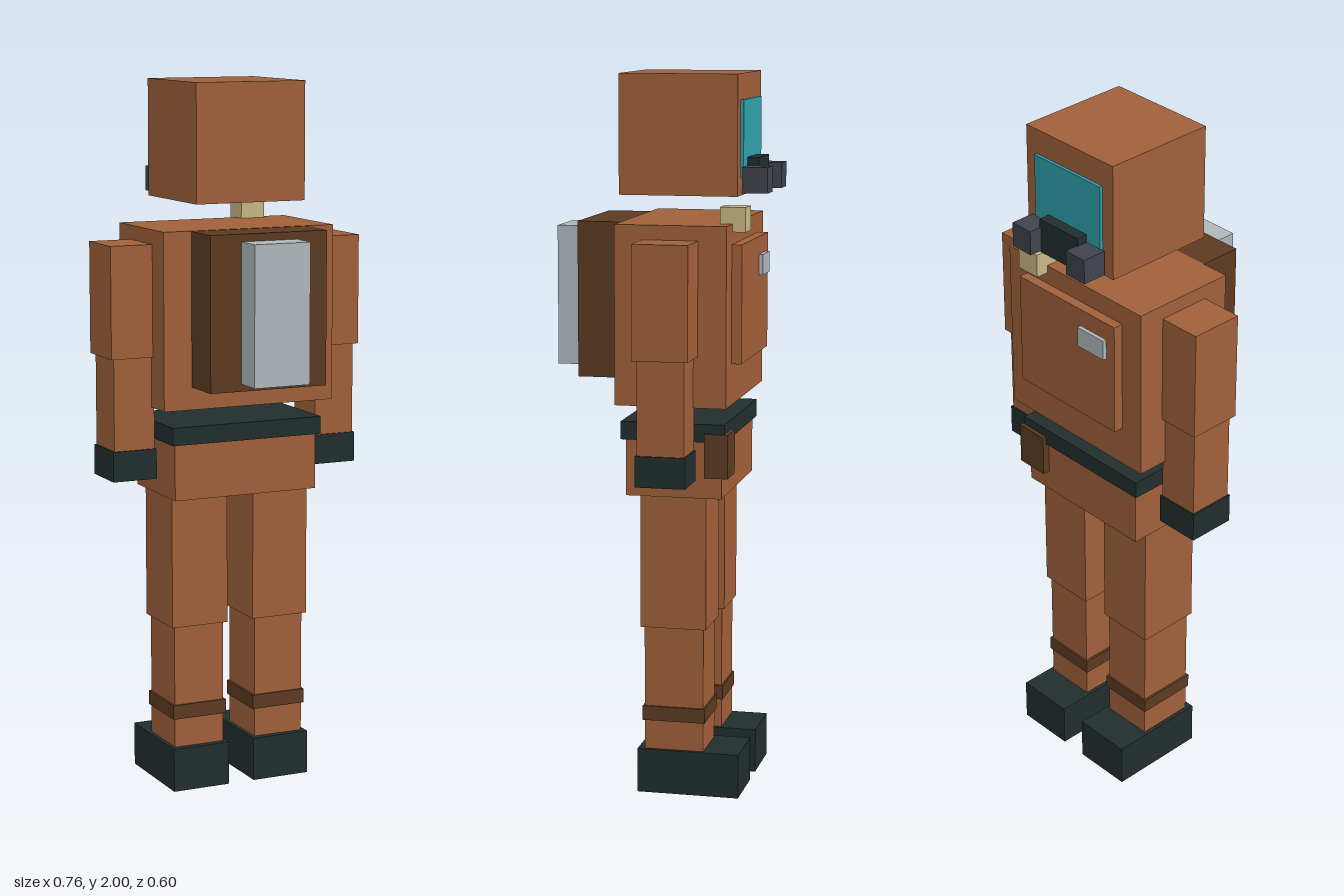
import * as THREE from 'three';

const mat = (name, color) => {
  const m = new THREE.MeshStandardMaterial({ color });
  m.name = name;
  return m;
};

export function createModel() {
  const suit = mat('rust suit', 0xa0603a);
  const brown = mat('brown leather', 0x5c3a22);
  const dark = mat('dark rubber', 0x222e2e);
  const silver = mat('silver metal', 0xb0b8bc);
  const teal = mat('teal glass', 0x2fa0aa);
  const slate = mat('slate filter', 0x40434e);
  const tan = mat('tan plastic', 0xc8b884);

  const model = new THREE.Group();
  model.name = 'suitedFigure';

  // Box given by its [min, max] extents on each axis
  const box = (parent, name, material, [x0, x1], [y0, y1], [z0, z1]) => {
    const mesh = new THREE.Mesh(new THREE.BoxGeometry(x1 - x0, y1 - y0, z1 - z0), material);
    mesh.position.set((x0 + x1) / 2, (y0 + y1) / 2, (z0 + z1) / 2);
    mesh.name = name;
    parent.add(mesh);
  };
  const group = (name) => {
    const g = new THREE.Group();
    g.name = name;
    model.add(g);
    return g;
  };

  // Head with visor and breathing mask, facing -z
  const head = group('head');
  box(head, 'hood', suit, [-0.164, 0.164], [1.672, 2], [-0.225, 0.104]);
  box(head, 'visor', teal, [-0.125, 0.125], [1.72, 1.93], [-0.234, -0.225]);
  box(head, 'mask', dark, [-0.073, 0.073], [1.675, 1.773], [-0.266, -0.22]);

  // Torso, chest gear and backpack
  const torso = group('torso');
  box(torso, 'chest', suit, [-0.258, 0.258], [1.107, 1.6], [-0.215, 0.094]);
  box(torso, 'chestPanel', suit, [-0.186, 0.186], [1.22, 1.545], [-0.243, -0.215]);
  box(torso, 'badge', silver, [-0.155, -0.055], [1.437, 1.495], [-0.254, -0.243]);
  box(torso, 'shoulderRadio', tan, [0.105, 0.178], [1.578, 1.645], [-0.251, -0.18]);
  box(torso, 'backpack', brown, [-0.175, 0.175], [1.17, 1.599], [0.094, 0.218]);
  box(torso, 'airTank', silver, [-0.083, 0.083], [1.19, 1.578], [0.218, 0.3]);

  // Hips, belt and pouch
  const hips = group('hips');
  box(hips, 'pelvis', suit, [-0.217, 0.217], [0.85, 1.01], [-0.195, 0.073]);
  box(hips, 'belt', dark, [-0.228, 0.228], [1.008, 1.058], [-0.205, 0.085]);
  box(hips, 'pouch', brown, [0.138, 0.235], [0.91, 1.032], [-0.216, -0.15]);

  // Mirrored parts: s = 1 is the +x side
  for (const s of [-1, 1]) {
    const side = s > 0 ? 'left' : 'right';
    const span = (a, b) => (s > 0 ? [a, b] : [-b, -a]);

    box(head, side + 'Filter', slate, span(0.069, 0.139), [1.68, 1.75], [-0.303, -0.232]);

    const arm = group(side + 'Arm');
    box(arm, 'upperArm', suit, span(0.25, 0.381), [1.248, 1.56], [-0.137, 0.017]);
    box(arm, 'forearm', suit, span(0.25, 0.37), [0.985, 1.25], [-0.125, 0.006]);
    box(arm, 'glove', dark, span(0.245, 0.375), [0.905, 0.99], [-0.129, 0.01]);

    const leg = group(side + 'Leg');
    box(leg, 'thigh', suit, span(0.04, 0.21), [0.477, 0.85], [-0.151, 0.034]);
    box(leg, 'shin', suit, span(0.05, 0.2), [0.12, 0.48], [-0.142, 0.025]);
    box(leg, 'ankleStrap', brown, span(0.043, 0.206), [0.208, 0.249], [-0.147, 0.03]);
    box(leg, 'boot', dark, span(0.039, 0.211), [0, 0.125], [-0.244, 0.044]);
  }
  return model;
}
